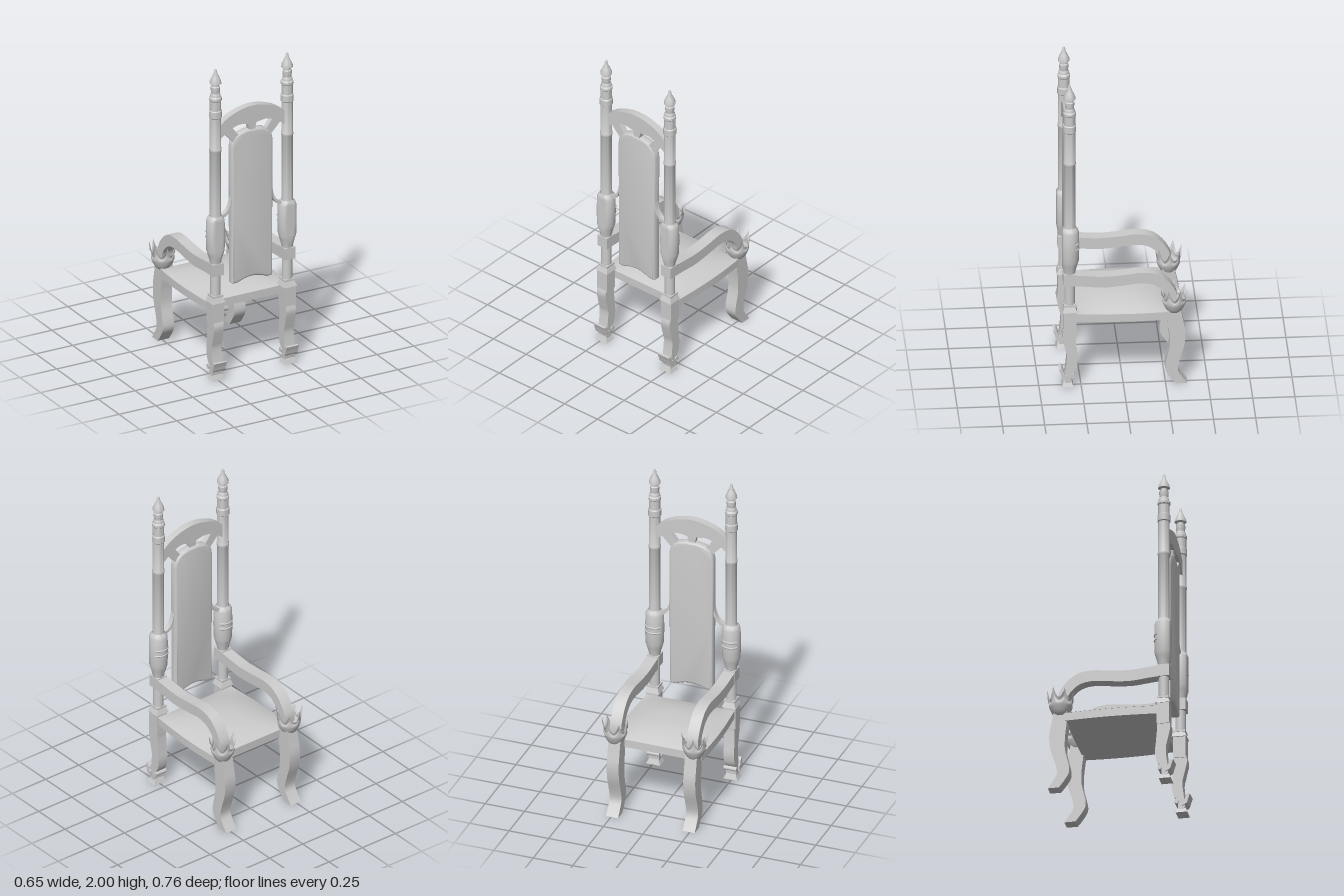
import * as THREE from 'three';
import { toCreasedNormals } from 'three/addons/utils/BufferGeometryUtils.js';

const mat = new THREE.MeshStandardMaterial({ color: 0xcccccc, side: THREE.DoubleSide });
const PX = 0.243, PZ = 0.317; // post centre
const v2 = (p) => new THREE.Vector2(p[0], p[1]);

function add(parent, name, geo, x = 0, y = 0, z = 0) {
  const m = new THREE.Mesh(geo, mat);
  m.name = name;
  m.position.set(x, y, z);
  parent.add(m);
  return m;
}

const smooth = (pts, n = 28) => new THREE.SplineCurve(pts.map(v2)).getPoints(n);

// shape lying between two smooth edges
const between = (a, b) => new THREE.Shape([...smooth(a), ...smooth(b).reverse()]);

// extrusion centred on its depth; bevel is optional
function slab(shape, depth, bevel = 0) {
  const g = new THREE.ExtrudeGeometry(shape, {
    depth: depth - 2 * bevel, bevelEnabled: bevel > 0, bevelThickness: bevel,
    bevelSize: bevel, bevelOffset: -bevel, bevelSegments: 4, curveSegments: 16,
  });
  g.translate(0, 0, bevel - depth / 2);
  return toCreasedNormals(g, 0.6);
}

// side profile given as (z, y), extruded across x
const sideProfile = (a, b, width) => slab(between(a, b), width).rotateY(-Math.PI / 2);

const lathe = (pts, seg = 28) => toCreasedNormals(new THREE.LatheGeometry(pts.map(v2), seg), 0.6);

// square block with different bottom and top widths
function frustum(w0, w1, h, depthScale = 1) {
  const g = new THREE.CylinderGeometry(w1 * Math.SQRT1_2, w0 * Math.SQRT1_2, h, 4, 1);
  return toCreasedNormals(g.rotateY(Math.PI / 4).scale(1, 1, depthScale), 0.4);
}

// leafy cup: lathe whose upper part is pulled into pointed petals
function leafCup() {
  const profile = smooth([[0.033, 0.47], [0.05, 0.49], [0.068, 0.53], [0.07, 0.565], [0.068, 0.59], [0.078, 0.635]], 16);
  const g = new THREE.LatheGeometry(profile, 84);
  const p = g.attributes.position;
  for (let i = 0; i < p.count; i++) {
    const x = p.getX(i), y = p.getY(i), z = p.getZ(i);
    const a = Math.atan2(z, x);
    const tip = 1 - Math.abs(Math.sin(3.5 * a)) ** 0.8;
    const t = Math.max(0, (y - 0.53) / 0.105);
    const rib = 1 + 0.09 * t * (tip - 0.5) + 0.03 * Math.sin(7 * a) * t;
    const varied = 1 + 0.15 * Math.sin(2 * a + 1);
    p.setXYZ(i, x * rib, y - t * 0.065 * (1 - tip * varied), z * rib);
  }
  g.computeVertexNormals();
  return g;
}

function buildPost(s) {
  const g = new THREE.Group();
  g.name = s > 0 ? 'leftPost' : 'rightPost';
  g.position.set(s * PX, 0, PZ);
  add(g, 'lowerShaft', new THREE.CylinderGeometry(0.031, 0.031, 0.3, 28), 0, 0.63, 0);
  add(g, 'shaftFoot', frustum(0.088, 0.058, 0.04), 0, 0.515, 0);
  add(g, 'shaftFootRim', new THREE.BoxGeometry(0.07, 0.012, 0.07), 0, 0.535, 0);

  // swelling, flattened at the back
  const swell = new THREE.LatheGeometry([[0.033, 0.74], [0.038, 0.77], [0.047, 0.8], [0.055, 0.83], [0.057, 0.92],
    [0.055, 1.02], [0.05, 1.035], [0.037, 1.05]].map(v2), 32);
  const p = swell.attributes.position;
  for (let i = 0; i < p.count; i++) p.setZ(i, Math.min(p.getZ(i), 0.043));
  add(g, 'swelling', toCreasedNormals(swell, 0.6));
  for (const y of [0.91, 0.945]) {
    const band = new THREE.TorusGeometry(0.054, 0.007, 8, 20, 2.0);
    band.rotateX(-Math.PI / 2).rotateY(0.57);
    add(g, 'carvedBand', band, 0, y, 0);
  }

  // upper shaft with turned rings
  add(g, 'upperShaft', lathe([[0.037, 1.04], [0.034, 1.06], [0.034, 1.465], [0.037, 1.47], [0.037, 1.485], [0.034, 1.49],
    [0.034, 1.685], [0.039, 1.69], [0.039, 1.73], [0.034, 1.735], [0.034, 1.795], [0.038, 1.8], [0.038, 1.815],
    [0.03, 1.825]]));
  add(g, 'finial', lathe([[0.031, 1.815], [0.031, 1.835], [0.025, 1.845], [0.028, 1.865], [0.028, 1.885], [0.022, 1.89],
    [0.022, 1.9], [0.035, 1.907], [0.034, 1.92], [0.024, 1.945], [0.012, 1.968], [0.009, 1.985], [0.006, 1.997], [0, 2]]));
  return g;
}

function buildRearLeg(s) {
  const g = new THREE.Group();
  g.name = s > 0 ? 'leftRearLeg' : 'rightRearLeg';
  g.position.x = s * 0.245;
  add(g, 'legBlock', new THREE.BoxGeometry(0.076, 0.14, 0.075), 0, 0.43, PZ);
  add(g, 'legShaft', sideProfile(
    [[0.356, 0.37], [0.362, 0.33], [0.345, 0.25], [0.335, 0.2], [0.34, 0.13], [0.35, 0.06], [0.345, 0.02]],
    [[0.28, 0.37], [0.282, 0.33], [0.276, 0.25], [0.27, 0.18], [0.28, 0.12], [0.305, 0.075], [0.31, 0.02]], 0.066));
  // scrolled toe
  add(g, 'toeScroll', sideProfile(
    [[0.335, 0.045], [0.362, 0.06], [0.372, 0.09], [0.382, 0.118]],
    [[0.335, 0.08], [0.35, 0.085], [0.355, 0.105], [0.368, 0.12]], 0.084));
  add(g, 'toeRoll', new THREE.CylinderGeometry(0.014, 0.014, 0.08, 14).rotateZ(Math.PI / 2), 0, 0.075, 0.3);
  add(g, 'footBase', frustum(0.088, 0.06, 0.032, 0.8), 0, 0.016, 0.33);
  return g;
}

function buildArmAndFrontLeg(s) {
  const g = new THREE.Group();
  g.name = s > 0 ? 'leftArmAndFrontLeg' : 'rightArmAndFrontLeg';
  g.position.x = s * 0.243;
  add(g, 'arm', sideProfile(
    [[0.355, 0.745], [0.25, 0.738], [0.12, 0.727], [0, 0.734], [-0.11, 0.745], [-0.2, 0.73], [-0.27, 0.675], [-0.315, 0.6], [-0.32, 0.54]],
    [[0.355, 0.672], [0.25, 0.667], [0.12, 0.655], [0, 0.664], [-0.1, 0.675], [-0.17, 0.666], [-0.22, 0.635], [-0.255, 0.59], [-0.265, 0.54]], 0.072));
  add(g, 'armSocket', new THREE.BoxGeometry(0.074, 0.075, 0.075), 0, 0.709, PZ);
  add(g, 'leafCup', leafCup(), s * 0.007, 0, -0.303).rotation.y = s > 0 ? 0.4 : Math.PI - 0.4;
  add(g, 'frontLeg', sideProfile(
    [[-0.262, 0.52], [-0.262, 0.42], [-0.272, 0.33], [-0.272, 0.24], [-0.25, 0.14], [-0.25, 0.09], [-0.275, 0.045], [-0.31, 0]],
    [[-0.335, 0.52], [-0.352, 0.43], [-0.368, 0.34], [-0.36, 0.25], [-0.33, 0.15], [-0.322, 0.09], [-0.345, 0.045], [-0.377, 0]], 0.076));
  return g;
}

function buildSeat() {
  const g = new THREE.Group();
  g.name = 'seat';
  const bow = (z) => 0.278 + 0.015 * Math.cos((z + 0.04) * 5.2);
  const z0 = -0.272, z1 = 0.28, rim = [];
  for (let i = 0; i <= 16; i++) {
    const z = z0 + (z1 - z0) * i / 16;
    rim.push([bow(z), z]);
  }
  const outline = [...rim, ...rim.map(([x, z]) => [-x, z]).reverse()].map(v2);
  add(g, 'seatFrame', slab(new THREE.Shape(outline), 0.05).rotateX(Math.PI / 2), 0, 0.455, 0);

  // domed pad
  const pad = new THREE.PlaneGeometry(2, 2, 24, 24).rotateX(-Math.PI / 2);
  const p = pad.attributes.position;
  for (let i = 0; i < p.count; i++) {
    const u = p.getX(i), w = p.getZ(i), z = (z0 + z1) / 2 + w * (z1 - z0) / 2;
    const dome = (1 - Math.abs(u) ** 2.4) * (1 - Math.abs(w) ** 2.4);
    p.setXYZ(i, u * bow(z), 0.481 + 0.05 * dome, z);
  }
  pad.computeVertexNormals();
  add(g, 'seatPad', pad);
  return g;
}

function buildBack() {
  const g = new THREE.Group();
  g.name = 'back';
  // arched crest rail
  add(g, 'crestRail', slab(between(
    [[-0.22, 1.632], [-0.16, 1.675], [-0.08, 1.705], [0, 1.716], [0.08, 1.705], [0.16, 1.675], [0.22, 1.632]],
    [[-0.22, 1.543], [-0.17, 1.58], [-0.1, 1.61], [-0.04, 1.605], [0, 1.598], [0.04, 1.605], [0.1, 1.61], [0.17, 1.58], [0.22, 1.543]]), 0.045), 0, 0, 0.313);

  // upholstered panel with rounded top and scalloped bottom
  const right = [[0.137, 0.588], [0.138, 1.0], [0.141, 1.46], [0.134, 1.5], [0.115, 1.532], [0.085, 1.552], [0.04, 1.563]];
  const bottom = [[-0.137, 0.588], [-0.1, 0.585], [-0.06, 0.6], [0, 0.61], [0.06, 0.6], [0.1, 0.585], [0.137, 0.588]];
  const panel = new THREE.Shape([...smooth(bottom, 20), ...right.slice(1).map(v2),
    ...right.slice(1).reverse().map(([x, y]) => v2([-x, y]))]);
  add(g, 'backPanel', slab(panel, 0.055, 0.014), 0, 0, 0.308);

  // spokes joining panel and crest
  const spoke = (pts) => slab(new THREE.Shape(pts.map(v2)), 0.034);
  add(g, 'centreSpoke', spoke([[-0.018, 1.55], [0.018, 1.55], [0.03, 1.61], [-0.03, 1.61]]), 0, 0, 0.313);
  for (const s of [1, -1]) {
    const pts = [[0.125, 1.5], [0.195, 1.575], [0.145, 1.61], [0.088, 1.535]].map(([x, y]) => [s * x, y]);
    add(g, 'sideSpoke', spoke(pts), 0, 0, 0.313);
    // curved brackets to the posts
    const m = (a) => a.map(([x, y]) => [s * x, y]);
    add(g, 'sideBracket', slab(between(
      m([[0.135, 1.165], [0.15, 1.1], [0.175, 1.06], [0.215, 1.04]]),
      m([[0.135, 1.115], [0.145, 1.075], [0.17, 1.04], [0.215, 1.015]])), 0.03), 0, 0, 0.313);
  }
  return g;
}

export function createModel() {
  const model = new THREE.Group();
  model.name = 'highBackArmchair';
  for (const s of [1, -1]) model.add(buildPost(s), buildRearLeg(s), buildArmAndFrontLeg(s));
  model.add(buildSeat(), buildBack());
  return model;
}
